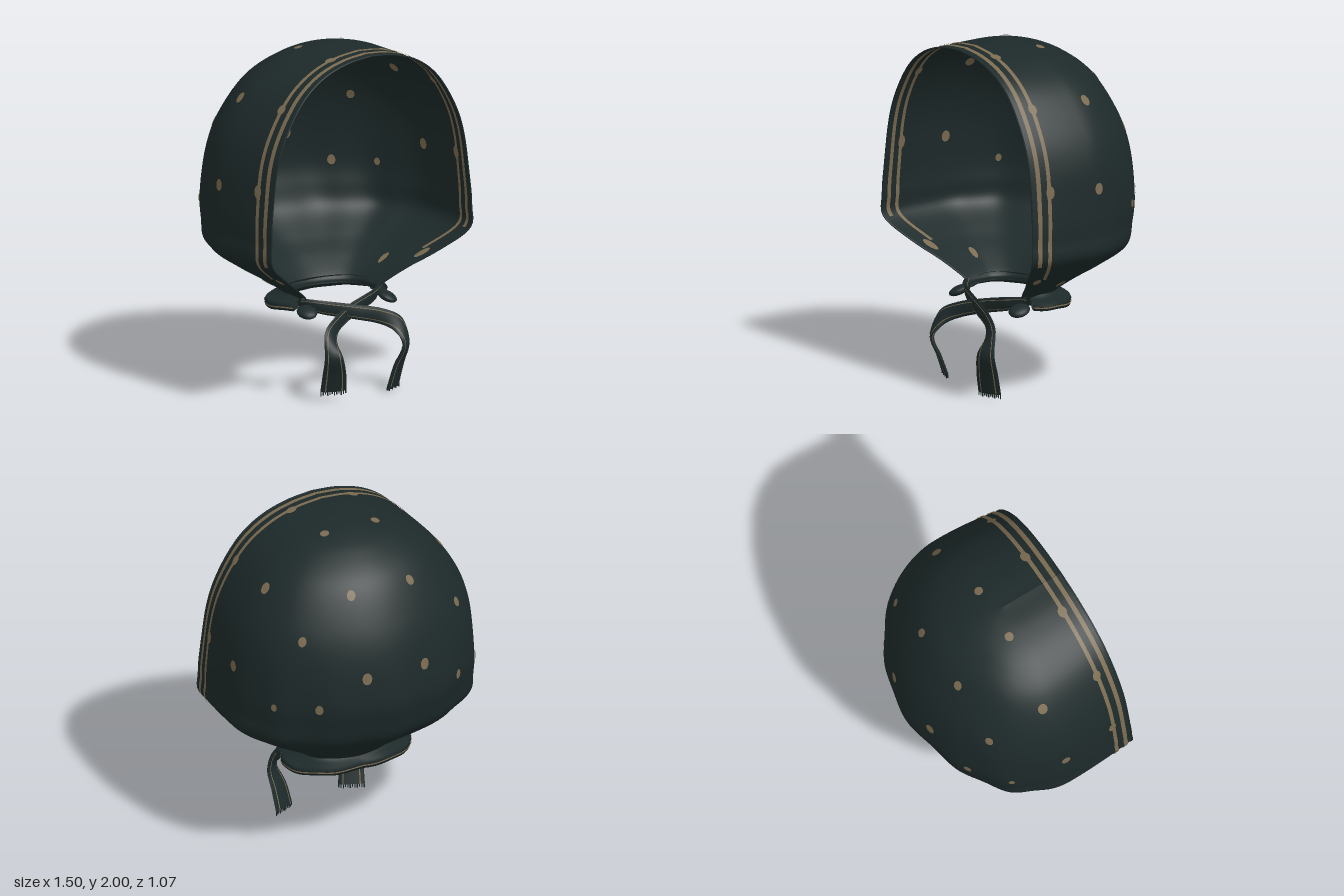
import * as THREE from 'three';

const V = (x, y, z) => new THREE.Vector3(x, y, z);
const cloth = new THREE.MeshStandardMaterial({ color: 0x1d2929, side: THREE.DoubleSide });
cloth.name = 'dark green cloth';
const gold = new THREE.MeshStandardMaterial({ color: 0x7a6a50, side: THREE.DoubleSide });
gold.name = 'dull gold print';

// Hood levels from neck to crown: height, half width, front z, side z, back z
const LEVELS = [
  [0.53, 0.27, 0.24, 0.10, -0.07], [0.57, 0.285, 0.26, 0.10, -0.085], [0.66, 0.42, 0.33, 0.10, -0.19],
  [0.75, 0.57, 0.42, 0.10, -0.32], [0.87, 0.735, 0.505, 0.10, -0.455], [1.0, 0.748, 0.51, 0.10, -0.505],
  [1.15, 0.748, 0.505, 0.10, -0.53], [1.4, 0.725, 0.5, 0.10, -0.495], [1.6, 0.655, 0.5, 0.10, -0.425],
  [1.8, 0.515, 0.5, 0.12, -0.305], [1.92, 0.345, 0.5, 0.14, -0.15], [1.98, 0.17, 0.5, 0.17, 0.0],
  [2.0, 0, 0.5, 0.2, 0.13],
];
const spline = (pts) => new THREE.CatmullRomCurve3(pts, false, 'catmullrom', 0.5);
const outline = spline(LEVELS.map((l) => V(l[1], l[0], l[2])));
const depth = spline(LEVELS.map((l) => V(l[3], l[4], 0)));
const BACK = 0.6; // share of |u| that wraps round the back

// Hood surface: u runs round the back from -1 to 1, v from neck to crown
function hoodPoint(u, v) {
  const o = outline.getPoint(v), d = depth.getPoint(v), s = Math.abs(u);
  const step = THREE.MathUtils.smoothstep;
  const q = Math.max(0, (s - BACK) / (1 - BACK));
  const low = step(o.y, 0.55, 0.8) * (1 - step(o.y, 0.9, 1.5));
  const fold = 1 + (1 - step(s, 0.35, 0.6)) * (0.012 * low * Math.cos(u * 34)
    + 0.006 * Math.sin(u * 17 + 1) * Math.min(1, (1 - v) * 6));
  const rim = 1 - q * q * (0.03 + 0.03 * step(o.y, 0.9, 1.4));
  const a = Math.min(1, s / BACK) * Math.PI / 2;
  const x = Math.sign(u) * Math.max(0, o.x) * Math.sin(a) * fold * rim;
  const z = s > BACK ? d.x + (o.z - d.x) * q : d.x - (d.x - d.y) * Math.cos(a) * fold;
  return V(x, o.y - 0.12 * q * q * Math.max(0, o.y - 1.9), z);
}

function slopes(u, v) {
  const e = 0.002, c = THREE.MathUtils.clamp;
  const u0 = c(u - e, -1, 1), u1 = c(u + e, -1, 1), v0 = c(v - e, 0, 1), v1 = c(v + e, 0, 1);
  return [hoodPoint(u1, v).sub(hoodPoint(u0, v)).divideScalar(u1 - u0),
    hoodPoint(u, v1).sub(hoodPoint(u, v0)).divideScalar(v1 - v0)];
}

// Point lifted off the cloth, outward for positive amounts
function lifted(u, v, amount) {
  const [su, sv] = slopes(u, v);
  return hoodPoint(u, v).addScaledVector(sv.cross(su).normalize(), amount);
}

// Smooth sheet through fn(i, j) for i, j in 0..1
function sheet(nu, nv, fn) {
  const pos = [], idx = [];
  for (let j = 0; j <= nv; j++) for (let i = 0; i <= nu; i++) pos.push(...fn(i / nu, j / nv).toArray());
  for (let j = 0; j < nv; j++) for (let i = 0; i < nu; i++) {
    const a = j * (nu + 1) + i, b = a + nu + 1;
    idx.push(a, b, a + 1, a + 1, b, b + 1);
  }
  const g = new THREE.BufferGeometry();
  g.setAttribute('position', new THREE.Float32BufferAttribute(pos, 3));
  g.setIndex(idx);
  g.computeVertexNormals();
  return g;
}

function add(parent, name, geometry, material) {
  const m = new THREE.Mesh(geometry, material);
  m.name = name;
  parent.add(m);
  return m;
}

// Oval spot that follows the cloth, on both faces
function addDot(parent, x, y, z, r, stretch = 1.25) {
  let lo = 0, hi = 1;
  for (let k = 0; k < 30; k++) {
    const mid = (lo + hi) / 2;
    if (outline.getPoint(mid).y < y) lo = mid; else hi = mid;
  }
  let u = 0, best = 9;
  for (let k = -300; k <= 300; k++) {
    const p = hoodPoint(k / 300, lo), dist = Math.hypot(p.x - x, p.z - z);
    if (dist < best) { best = dist; u = k / 300; }
  }
  const [su, sv] = slopes(u, lo);
  const ru = r / su.length(), rv = stretch * r / sv.length();
  for (const lift of [0.005, -0.005]) {
    add(parent, 'dot', sheet(12, 2, (i, j) => lifted(
      THREE.MathUtils.clamp(u + Math.cos(i * 2 * Math.PI) * ru * j, -1, 1),
      THREE.MathUtils.clamp(lo + Math.sin(i * 2 * Math.PI) * rv * j, 0, 1), lift)), gold);
  }
}

// Flat cloth tie with rounded edges, gold edge lines and a fringe
function addTie(parent, name, rows) {
  const tie = new THREE.Group();
  tie.name = name;
  parent.add(tie);
  const mid = spline(rows.map((r) => V(r[0], r[1], r[2])));
  const half = spline(rows.map((r) => V(r[3], r[4], r[5])));
  const at = (t, across, out) => {
    const w = half.getPoint(t);
    const n = mid.getTangent(t).cross(w).normalize();
    return mid.getPoint(t).addScaledVector(w, across).addScaledVector(n, out);
  };
  add(tie, 'tieBand', sheet(12, 40, (i, t) =>
    at(t, Math.cos(i * 2 * Math.PI), 0.012 * Math.sin(i * 2 * Math.PI))), cloth);
  for (const side of [-1, 1]) for (const face of [-1, 1]) {
    add(tie, 'tieLine', sheet(1, 40, (i, t) =>
      at(t, side * (0.6 + 0.09 * i), face * (0.0118 - 0.0013 * i))), gold);
  }
  for (let k = 0; k < 12; k++) {
    const p = at(1, -0.95 + k * 1.9 / 11, 0), len = 0.018 + 0.008 * ((k * 7) % 3) / 2;
    add(tie, 'fringe', new THREE.BoxGeometry(0.004, len, 0.006), cloth).position.set(p.x, p.y - len / 2, p.z);
  }
}

export function createModel() {
  const model = new THREE.Group();
  model.name = 'headscarf';

  // Hood cloth and rolled front hem
  add(model, 'hood', sheet(144, 84, (i, j) => hoodPoint(i * 2 - 1, j)), cloth);
  for (const s of [-1, 1]) {
    const edge = [];
    for (let k = 0; k <= 40; k++) edge.push(hoodPoint(s, k / 40));
    add(model, 'frontHem', new THREE.TubeGeometry(new THREE.CatmullRomCurve3(edge), 80, 0.005, 6), cloth);
  }

  // Two printed stripes beside the front edge, measured back from it
  const print = new THREE.Group();
  print.name = 'print';
  model.add(print);
  for (const s of [-1, 1]) for (const [near, far, start] of [[0.033, 0.06, 0.33], [0.098, 0.122, 0.24]]) {
    for (const lift of [0.005, -0.005]) {
      add(print, 'stripe', sheet(2, 90, (i, j) => {
        const v = start + (1 - start) * j;
        const run = outline.getPoint(v).z - depth.getPoint(v).x;
        return lifted(s * (1 - (1 - BACK) * (near + (far - near) * i) / run), v, lift);
      }), gold);
    }
  }

  // Printed dots, mirrored: position, radius, optional stretch along the cloth
  const DOTS = [
    [0.19, 1.76, -0.32, 0.025], [0.5, 1.53, -0.3, 0.024], [0.185, 1.31, -0.5, 0.029], [0.45, 1.13, -0.41, 0.024],
    [0.63, 1.12, -0.23, 0.018], [0.57, 1.74, 0.02, 0.028], [0.19, 1.973, 0.03, 0.026, 1], [0.74, 1.27, 0.06, 0.027],
    [0.19, 1.973, 0.385, 0.027], [0.52, 1.74, 0.385, 0.026], [0.71, 1.29, 0.385, 0.026, 1.5],
    [0.52, 0.72, 0.33, 0.026, 2], [0.4, 0.66, 0.1, 0.02, 2.2],
  ];
  for (const s of [-1, 1]) for (const [x, y, z, r, stretch] of DOTS) addDot(print, s * x, y, z, r, stretch);

  // Gathered collar flaring out below the hood
  const COLLAR = [[0, 0.575], [0.25, 0.55], [0.9, 0.545], [1, 0.53], [0.98, 0.5], [0.4, 0.505], [0, 0.53]];
  const collarPoint = (u, out, y) => {
    const a = u * Math.PI * 0.66, flare = out * (0.05 + 0.06 * Math.abs(Math.sin(a)));
    return V(Math.sin(a) * (0.285 + flare),
      y + 0.003 * out * Math.sin(u * 19), 0.1 - Math.cos(a) * (0.175 + flare * 0.9));
  };
  add(model, 'collar', sheet(72, COLLAR.length - 1, (i, j) => {
    const [out, y] = COLLAR[Math.round(j * (COLLAR.length - 1))];
    return collarPoint(i * 2 - 1, out, y);
  }), cloth);
  add(model, 'collarLine', sheet(72, 1, (i, j) => collarPoint(i * 2 - 1, 1.04, 0.522 - 0.008 * j)), gold);

  // Bunched cloth where the ties leave the collar
  for (const s of [-1, 1]) {
    const knot = add(model, 'gather', new THREE.SphereGeometry(1, 16, 10), cloth);
    knot.scale.set(0.055, 0.026, 0.065);
    knot.position.set(s * 0.29, 0.5, 0.29);
    knot.rotation.set(0.3, 0, s * -0.25);
  }

  // Crossed ties: centre and half-width vector at each point
  addTie(model, 'leftTie', [
    [-0.29, 0.545, 0.22, 0, 0.025, 0.02], [-0.19, 0.515, 0.31, 0.01, 0.038, 0.01], [0, 0.47, 0.37, 0.012, 0.04, 0],
    [0.15, 0.43, 0.41, 0.015, 0.042, 0], [0.24, 0.375, 0.455, 0.036, 0.032, -0.01],
    [0.258, 0.27, 0.5, 0.044, 0, -0.028], [0.23, 0.15, 0.47, 0.062, 0, -0.03], [0.213, 0.026, 0.44, 0.068, 0, -0.03]]);
  addTie(model, 'rightTie', [
    [0.29, 0.545, 0.22, 0, 0.025, 0.02], [0.19, 0.52, 0.29, -0.01, 0.038, 0.01], [0, 0.475, 0.335, -0.012, 0.04, 0],
    [-0.15, 0.43, 0.39, -0.015, 0.042, 0], [-0.24, 0.375, 0.445, -0.036, 0.032, -0.01],
    [-0.262, 0.27, 0.5, -0.044, 0, -0.028], [-0.236, 0.16, 0.47, -0.062, 0, -0.03], [-0.22, 0.06, 0.44, -0.07, 0, -0.03]]);
  return model;
}
